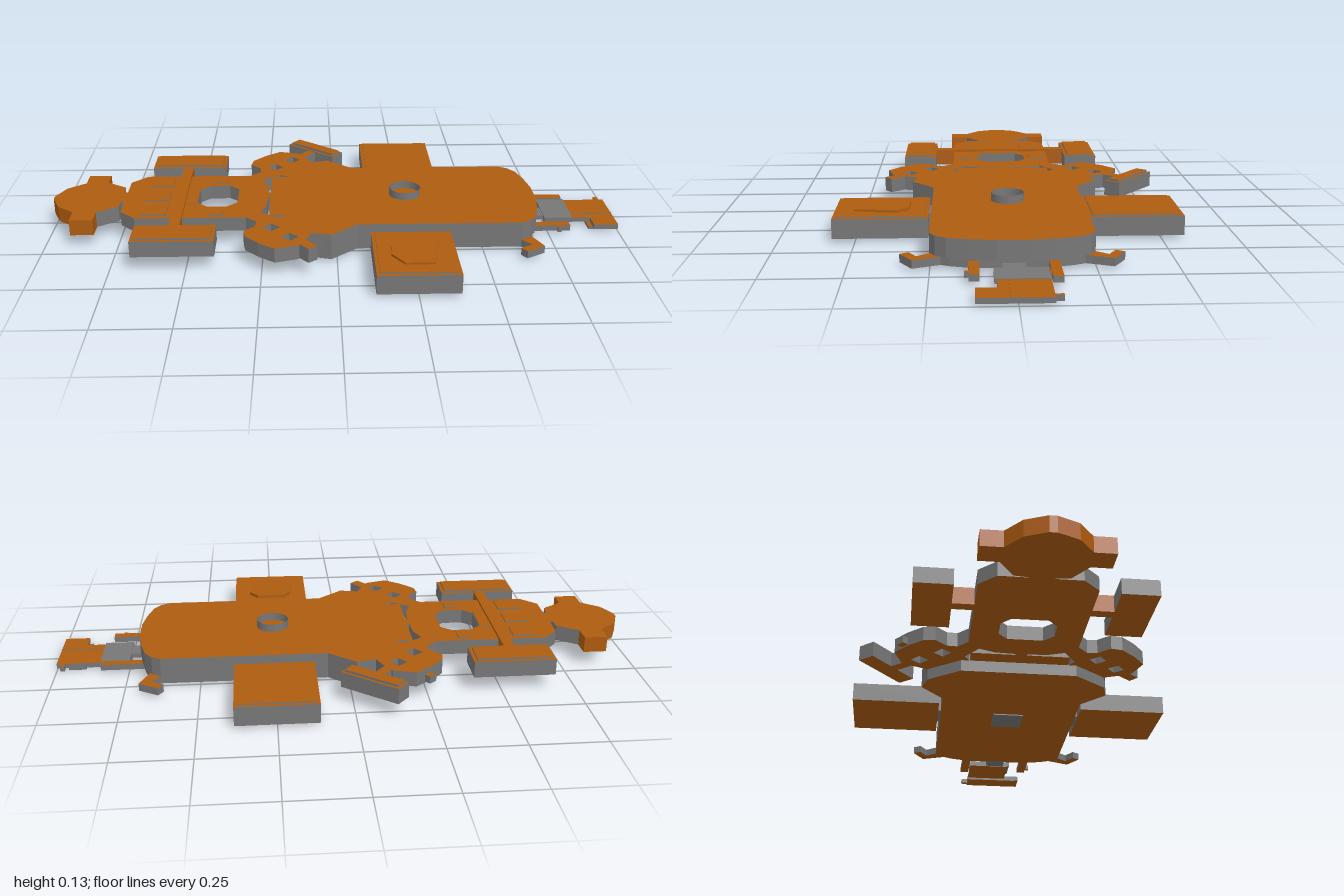
import * as THREE from 'three';

const orange = new THREE.MeshStandardMaterial({ color: 0xae5c0f });
const grey = new THREE.MeshStandardMaterial({ color: 0x777777 });
const greyOpen = new THREE.MeshStandardMaterial({ color: 0x777777, side: THREE.DoubleSide });

// Plate cut from [x, z] corners between heights y0 and y1: coloured faces, grey rim
function plate(name, pts, y0, y1, holes = [], mats = [orange, grey]) {
  const toV = (list) => list.map(([x, z]) => new THREE.Vector2(x, -z));
  const shape = new THREE.Shape(toV(pts));
  holes.forEach((h) => shape.holes.push(new THREE.Path(toV(h))));
  const geo = new THREE.ExtrudeGeometry(shape, { depth: y1 - y0, bevelEnabled: false });
  geo.rotateX(-Math.PI / 2).translate(0, y0, 0);
  const mesh = new THREE.Mesh(geo, mats);
  mesh.name = name;
  return mesh;
}

const rect = (x0, x1, z0, z1) => [[x0, z0], [x1, z0], [x1, z1], [x0, z1]];

// Closes a half outline (z > 0) with its mirror across z = 0
const mirrored = (half) => [...half, ...half.map(([x, z]) => [x, -z]).reverse()];

const flip = (pts, s) => pts.map(([x, z]) => [x, z * s]);

// Rectangle turned by an angle in the x-z plane
function turnedRect(cx, cz, w, d, a) {
  const c = Math.cos(a), s = Math.sin(a);
  return rect(-w / 2, w / 2, -d / 2, d / 2).map(([x, z]) => [cx + x * c - z * s, cz + x * s + z * c]);
}

export function createModel() {
  const model = new THREE.Group();
  model.name = 'flatVehicle';
  const add = (...args) => model.add(plate(...args));

  // Main body with pointed shoulders and rounded end, on a slightly shorter belly
  const bodyFront = [[-0.17, 0.17], [-0.17, 0.2], [-0.085, 0.312], [-0.02, 0.33], [0.07, 0.252]];
  add('body', mirrored([
    ...bodyFront, [0.63, 0.252], [0.66, 0.235], [0.685, 0.2], [0.703, 0.13], [0.715, 0.05],
  ]), 0.037, 0.1);
  add('belly', mirrored([
    ...bodyFront, [0.63, 0.252], [0.66, 0.23], [0.68, 0.19], [0.7, 0.12],
  ]), 0.01, 0.037);
  add('bodyTongue', rect(-0.23, -0.165, -0.17, 0.17), 0.05, 0.1);
  add('neckLink', rect(-0.25, -0.22, -0.02, 0.02), 0.05, 0.1);
  add('undersidePad', rect(0.19, 0.305, -0.055, 0.055), 0.006, 0.012, [], [grey, grey]);

  // Open collar on the body
  const collar = new THREE.Mesh(new THREE.CylinderGeometry(0.055, 0.055, 0.027, 24, 1, true), greyOpen);
  collar.position.set(0.25, 0.1135, 0);
  collar.name = 'collar';
  model.add(collar);

  // Cab plate with an octagonal opening
  add('cab', mirrored([
    [-0.745, 0.1], [-0.745, 0.13], [-0.69, 0.185], [-0.31, 0.185], [-0.265, 0.15], [-0.242, 0.09], [-0.238, 0.03],
  ]), 0.05, 0.1, [mirrored([[-0.485, 0.06], [-0.45, 0.092], [-0.38, 0.092], [-0.345, 0.06]])]);
  for (const z of [-0.125, 0, 0.125]) {
    add('cabPanel', rect(-0.67, -0.585, z - 0.04, z + 0.04), 0.1, 0.105);
  }
  add('cabStep', rect(-0.525, -0.487, -0.07, 0.07), 0.1, 0.103);
  add('axle', rect(-0.565, -0.528, -0.26, 0.26), 0.05, 0.109, [], [orange, orange]);

  // Head: coloured front half, grey-rimmed rear half
  add('headFront', mirrored([
    [-1, 0.012], [-0.97, 0.08], [-0.91, 0.128], [-0.91, 0.197], [-0.83, 0.197],
  ]), 0.045, 0.1, [], [orange, orange]);
  add('headRear', mirrored([
    [-0.83, 0.132], [-0.76, 0.085], [-0.755, 0.04], [-0.735, 0.035],
  ]), 0.045, 0.1);

  for (const s of [-1, 1]) {
    const side = (name, pts, y0, y1, holes = []) =>
      add(name, flip(pts, s), y0, y1, holes.map((h) => flip(h, s)));

    // Cab wheels
    side('wheel', rect(-0.68, -0.405, 0.255, 0.378), 0.05, 0.105);
    side('wheelLid', rect(-0.668, -0.417, 0.267, 0.366), 0.105, 0.112);
    side('cabHatch', rect(-0.435, -0.39, 0.112, 0.168), 0.1, 0.105);

    // Perforated shoulder wing, joined to the cab corner
    side('shoulder', [
      [-0.165, 0.17], [-0.2, 0.19], [-0.235, 0.165], [-0.265, 0.145], [-0.31, 0.185], [-0.272, 0.22], [-0.275, 0.255],
      [-0.312, 0.295], [-0.305, 0.335], [-0.26, 0.385], [-0.205, 0.428], [-0.13, 0.405], [-0.108, 0.37],
      [-0.085, 0.315], [-0.02, 0.328], [0, 0.17],
    ], 0.05, 0.1, [turnedRect(-0.157, 0.342, 0.042, 0.042, 0.7), turnedRect(-0.22, 0.267, 0.042, 0.042, 0.7)]);

    // Side boxes with inset lid and stub axle
    side('sideBox', rect(0.115, 0.385, 0.262, 0.575), 0.01, 0.075);
    side('sideBoxLid', rect(0.127, 0.373, 0.274, 0.563), 0.075, 0.08);
    add('sideBoxAxle', flip(rect(0.195, 0.3, 0.24, 0.27), s), 0.015, 0.07, [], [grey, grey]);

    // Hooked rear prongs
    side('prong', [
      [0.54, 0.2], [0.62, 0.24], [0.66, 0.29], [0.618, 0.315], [0.635, 0.342], [0.7, 0.302], [0.675, 0.24], [0.66, 0.2],
    ], 0.01, 0.036);
  }

  // Tilted badge on the front side box
  const badge = plate('badge', [
    [-0.05, -0.092], [0.05, -0.092], [0.08, -0.05], [0.055, 0.092], [-0.04, 0.092], [-0.08, 0.03], [-0.075, -0.06],
  ], -0.012, 0.008, [], [orange, orange]);
  badge.position.set(0.25, 0.081, 0.418);
  badge.rotation.x = 0.03;
  model.add(badge);

  // Turned wheel on the back shoulder, short stub on the front one
  const a = Math.atan2(0.14, 0.17);
  add('shoulderArm', turnedRect(-0.1, -0.405, 0.035, 0.12, a), 0.05, 0.1);
  add('turnedWheel', turnedRect(-0.065, -0.455, 0.22, 0.062, a), 0.05, 0.103);
  add('turnedWheelLid', turnedRect(-0.065, -0.455, 0.2, 0.044, a), 0.103, 0.111);
  add('shoulderStub', turnedRect(-0.105, 0.392, 0.038, 0.075, -a), 0.05, 0.1);
  add('shoulderNub', turnedRect(-0.245, -0.39, 0.03, 0.055, -a), 0.055, 0.08);

  // Tail: two rails, grey coupling and end plate
  add('backRail', rect(0.69, 0.845, -0.137, -0.105), 0.012, 0.032);
  add('frontRail', rect(0.69, 0.825, 0.103, 0.135), 0.012, 0.032);
  add('backRailNub', rect(0.775, 0.8, -0.108, -0.098), 0.012, 0.03);
  add('frontRailNub', rect(0.78, 0.793, 0.13, 0.148), 0.012, 0.03);
  add('couplingNeck', rect(0.69, 0.755, -0.035, 0.035), 0.01, 0.025, [], [grey, grey]);
  add('coupling', rect(0.75, 0.85, -0.1, 0.062), 0.012, 0.028, [], [grey, grey]);
  add('endPlate', [
    [0.75, -0.1], [0.97, -0.1], [0.97, -0.125], [0.985, -0.125], [0.985, -0.1], [1, -0.1],
    [1, 0.118], [0.915, 0.118], [0.915, 0.055], [0.75, 0.055],
  ], 0.008, 0.025);
  add('endPlateKeel', rect(0.9, 0.96, -0.1, 0.1), 0, 0.01);
  add('endPlateRib', rect(0.85, 1, 0.015, 0.022), 0.025, 0.028);
  return model;
}
